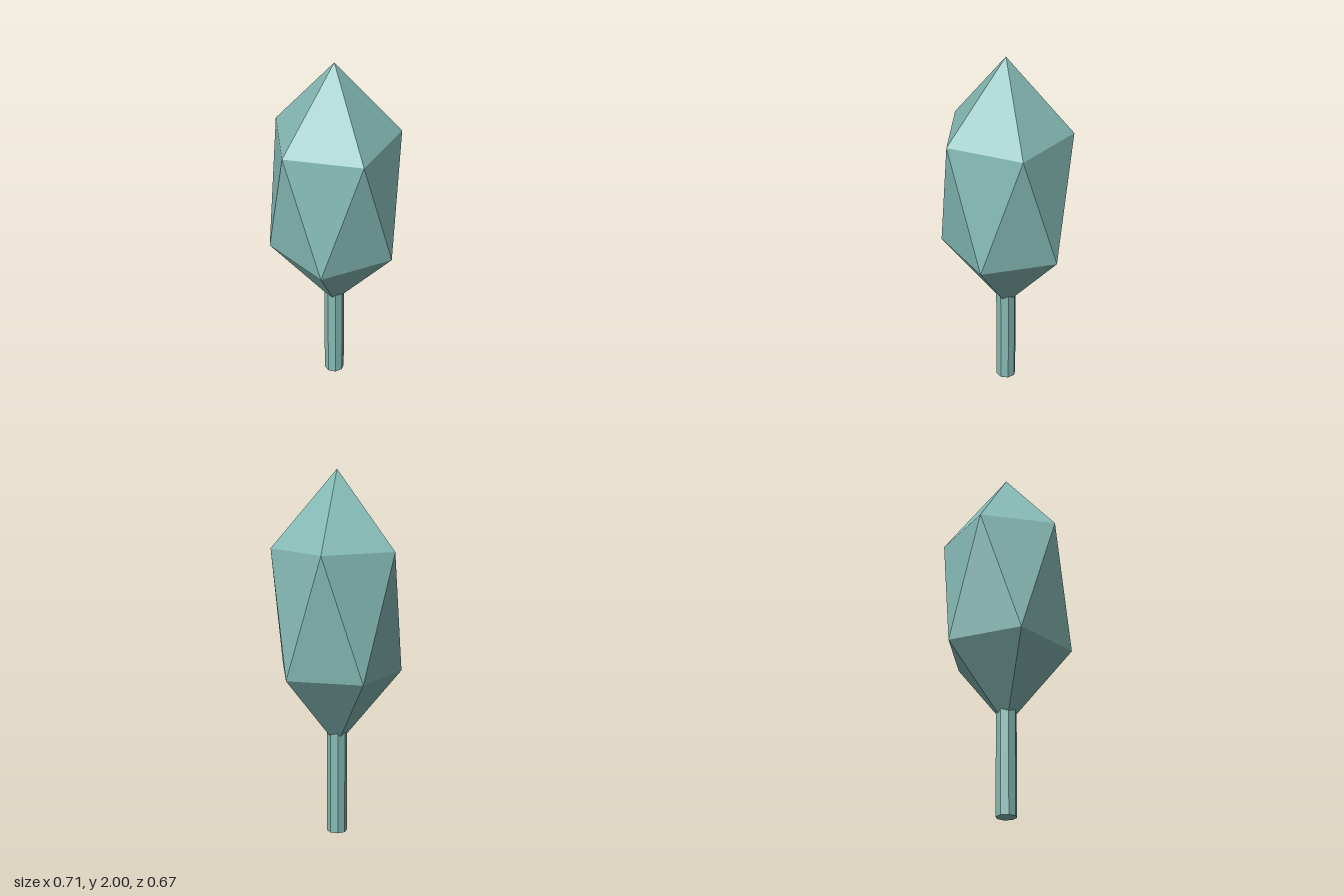
import * as THREE from 'three';

const foliageTeal = new THREE.MeshStandardMaterial({ color: 0x86bbb6, flatShading: true });
foliageTeal.name = 'foliageTeal';

// Stretched icosahedron: two five-point rings, half a step apart, between two apexes
function crownGeometry(radius, bottomY, lowY, highY, topY) {
  const step = (Math.PI * 2) / 5;
  const ring = (y, offset) => (i) => {
    const a = (i % 5 + offset) * step;
    return [radius * Math.cos(a), y, radius * Math.sin(a)];
  };
  const high = ring(highY, 0);
  const low = ring(lowY, 0.5);
  const top = [0, topY, 0];
  const bottom = [0, bottomY, 0];
  const points = [];
  for (let i = 0; i < 5; i++) {
    points.push(
      top, high(i + 1), high(i),
      high(i), high(i + 1), low(i),
      low(i), high(i + 1), low(i + 1),
      bottom, low(i), low(i + 1)
    );
  }
  const geometry = new THREE.BufferGeometry();
  geometry.setAttribute('position', new THREE.Float32BufferAttribute(points.flat(), 3));
  geometry.computeVertexNormals();
  return geometry;
}

export function createModel() {
  const tree = new THREE.Group();
  tree.name = 'tree';

  // Faceted crown
  const crown = new THREE.Mesh(crownGeometry(0.353, 0.494, 0.909, 1.585, 2), foliageTeal);
  crown.name = 'crown';

  // Eight-sided trunk, its top hidden inside the crown
  const trunkHeight = 0.6;
  const trunk = new THREE.Mesh(new THREE.CylinderGeometry(0.056, 0.056, trunkHeight, 8), foliageTeal);
  trunk.name = 'trunk';
  trunk.position.y = trunkHeight / 2;

  tree.add(crown, trunk);
  return tree;
}
